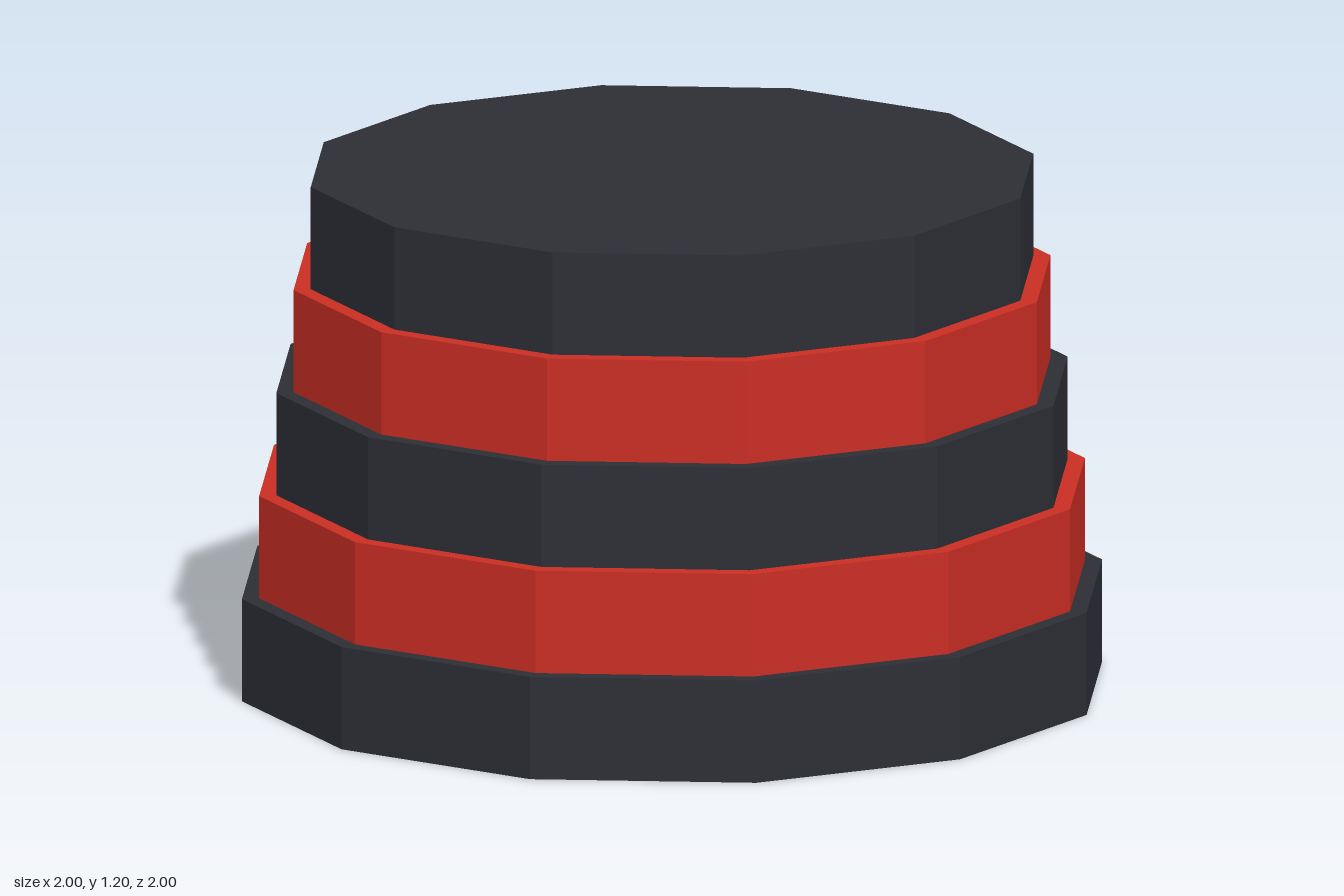
import * as THREE from 'three';

export function createModel() {
  const model = new THREE.Group();
  model.name = 'steppedDrum';

  const charcoal = new THREE.MeshStandardMaterial({ color: 0x2d2e35, flatShading: true });
  charcoal.name = 'charcoal';
  const red = new THREE.MeshStandardMaterial({ color: 0xc82d23, flatShading: true });
  red.name = 'red';

  // Five stacked twelve-sided tiers, each slightly narrower than the one below
  const tierHeight = 0.24;
  const names = ['baseTier', 'lowerRedTier', 'middleTier', 'upperRedTier', 'topTier'];
  names.forEach((name, i) => {
    const radius = 1 - 0.04 * i;
    const tier = new THREE.Mesh(
      new THREE.CylinderGeometry(radius, radius, tierHeight, 12),
      i % 2 ? red : charcoal
    );
    tier.name = name;
    tier.position.y = tierHeight * (i + 0.5);
    model.add(tier);
  });

  return model;
}
